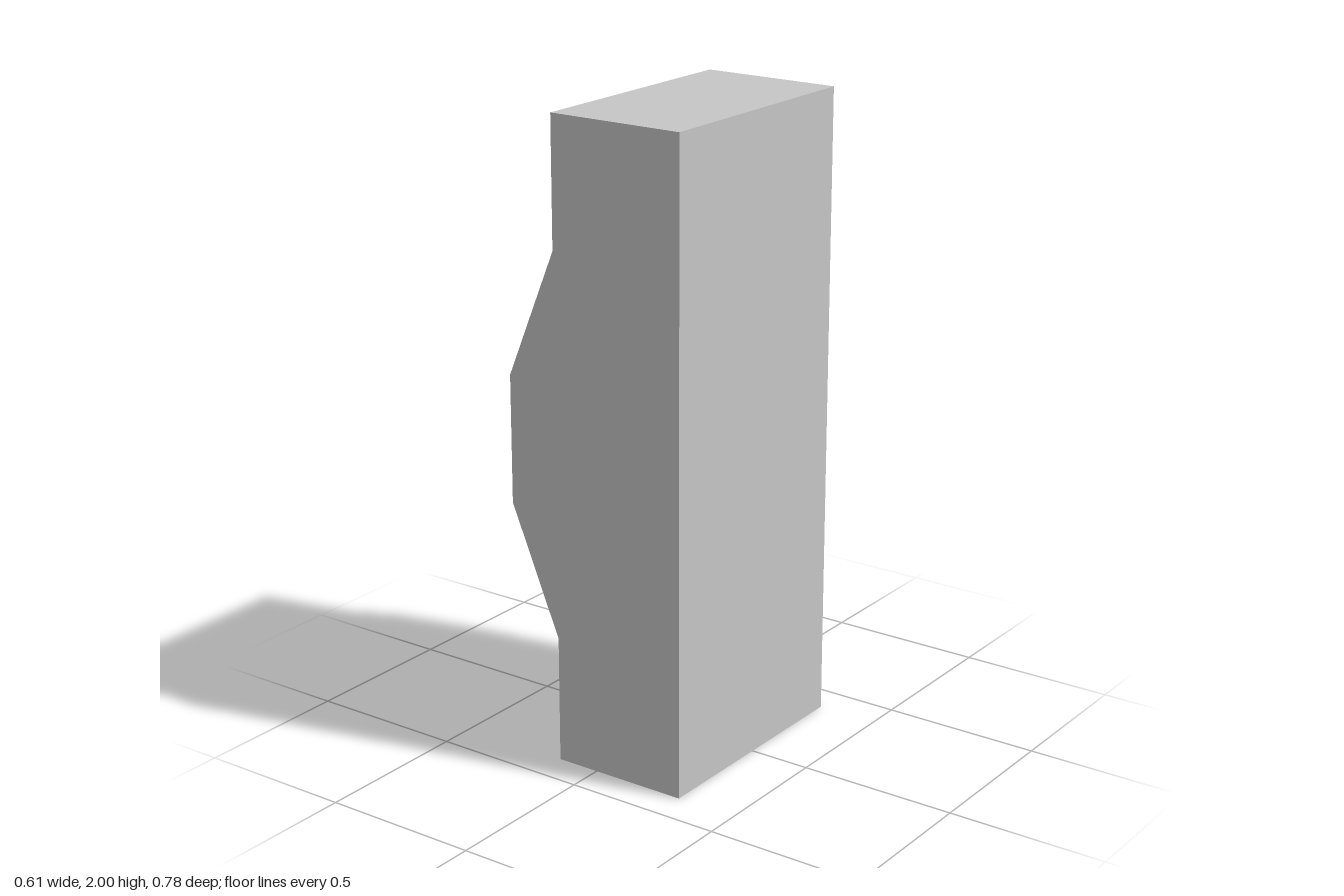
import * as THREE from 'three';

export function createModel() {
  const model = new THREE.Group();
  const grey = new THREE.MeshStandardMaterial({ color: 0xc6c6c6 });
  grey.name = 'light grey';

  const depth = 0.778;
  const sideX = -0.139; // plane of the upper and lower panels

  // Body: side profile with a chamfered bulge, extruded along z
  const profile = new THREE.Shape([
    [0.305, 0], [0.305, 2], [sideX, 2], [sideX, 1.6],
    [-0.305, 1.2], [-0.305, 0.8], [sideX, 0.4], [sideX, 0],
  ].map(([x, y]) => new THREE.Vector2(x, y)));
  const bodyGeometry = new THREE.ExtrudeGeometry(profile, { depth, bevelEnabled: false });
  bodyGeometry.translate(0, 0, -depth / 2);
  const body = new THREE.Mesh(bodyGeometry, grey);
  body.name = 'body';
  model.add(body);

  // Bolts: ten-sided discs on the panels above and below the bulge
  const boltHeight = 0.028;
  const boltGeometry = new THREE.CylinderGeometry(0.0833, 0.0833, boltHeight, 10)
    .rotateZ(Math.PI / 2)
    .toNonIndexed();
  boltGeometry.computeVertexNormals();
  for (const y of [0.25, 1.806]) {
    for (const z of [-0.224, 0.25]) {
      const bolt = new THREE.Mesh(boltGeometry, grey);
      bolt.name = 'bolt';
      bolt.position.set(sideX - boltHeight / 2, y, z);
      model.add(bolt);
    }
  }

  return model;
}
